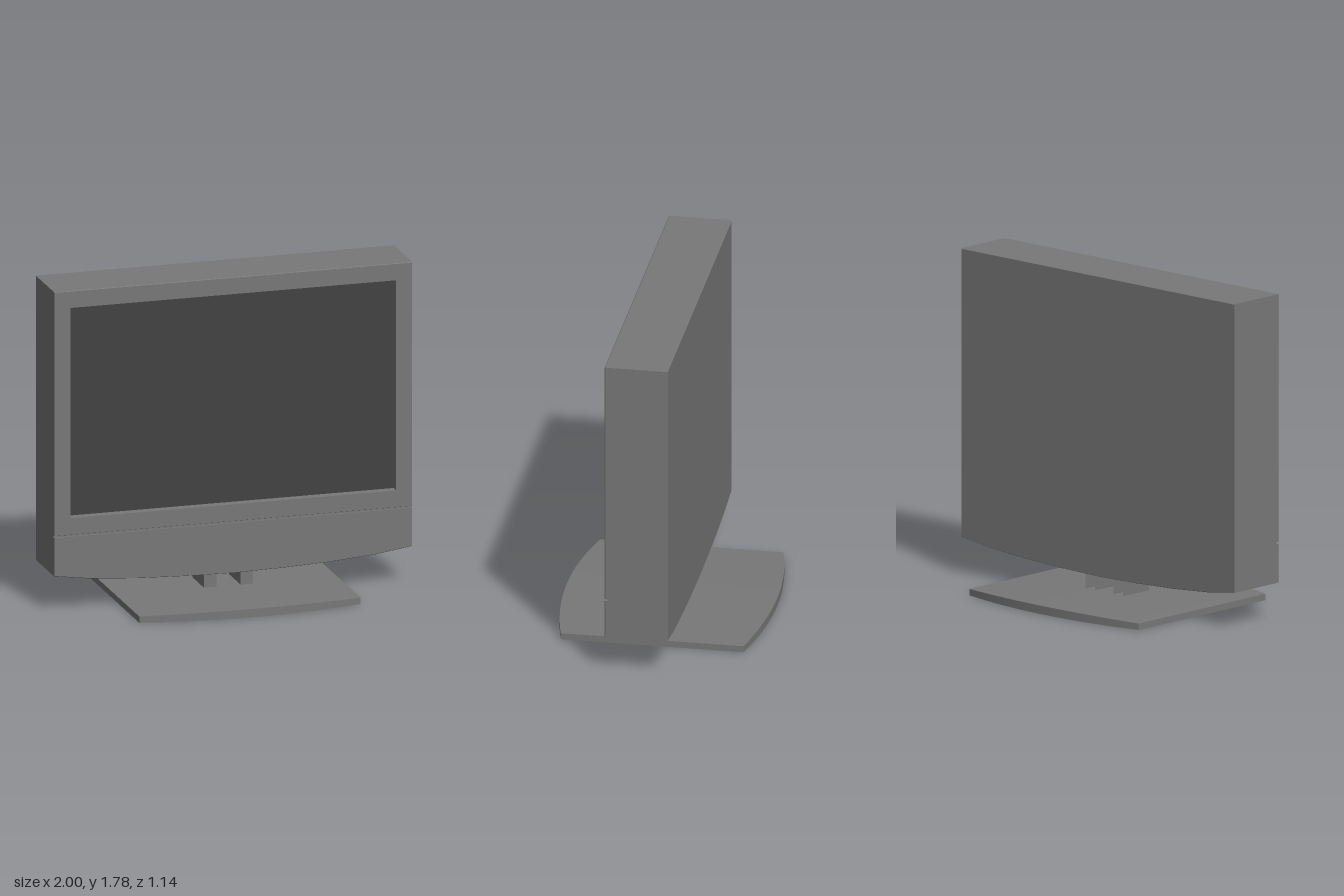
import * as THREE from 'three';

const grey = new THREE.MeshStandardMaterial({ color: 0x787878 });
const thin = new THREE.MeshStandardMaterial({ color: 0x787878, side: THREE.DoubleSide });
const dark = new THREE.MeshStandardMaterial({ color: 0x434343 });

const TOP = 1.785, BACK = -0.15, FRONT = 0.192;
const SCREEN_Z = 0.135, GROOVE_Z = 0.174;
const GROOVE_LOW = 0.417, GROOVE_HIGH = 0.428;
const HALF = { x: 0.912, low: 0.52, high: 1.694 }; // screen opening

// Outline with the faceted, gently bowed bottom edge
function bowed(top) {
  const half = [[0.27, 0.145], [0.54, 0.156], [0.8, 0.176], [1, 0.205]];
  const bottom = [...half.map(([x, y]) => [-x, y]).reverse(), [0, 0.14], ...half];
  return new THREE.Shape([...bottom, [1, top], [-1, top]].map(([x, y]) => new THREE.Vector2(x, y)));
}

function rect(x, y0, y1) {
  return new THREE.Shape([[-x, y0], [x, y0], [x, y1], [-x, y1]].map(([a, b]) => new THREE.Vector2(a, b)));
}

function slab(shape, z0, z1, steps = 1) {
  return new THREE.ExtrudeGeometry(shape, { depth: z1 - z0, steps, bevelEnabled: false }).translate(0, 0, z0);
}

// Narrows one end of a slab slightly to make a small chamfer
function chamfer(geometry, z) {
  const p = geometry.attributes.position;
  for (let i = 0; i < p.count; i++) {
    if (Math.abs(p.getZ(i) - z) > 0.001) continue;
    p.setXY(i, p.getX(i) * 0.997, 0.965 + (p.getY(i) - 0.965) * 0.996);
  }
  geometry.computeVertexNormals();
  return geometry;
}

export function createModel() {
  const model = new THREE.Group();
  const add = (name, geometry, material = grey, parent = model) => {
    const mesh = new THREE.Mesh(geometry, material);
    mesh.name = name;
    parent.add(mesh);
    return mesh;
  };
  const withOpening = (shape) => {
    shape.holes.push(rect(HALF.x, HALF.low, HALF.high));
    return shape;
  };

  // Cabinet: chamfered back, main body, and the layer that floors the groove
  add('backCover', chamfer(slab(bowed(TOP), BACK, BACK + 0.005), BACK));
  add('cabinet', slab(bowed(TOP), BACK + 0.005, SCREEN_Z - 0.01));
  add('cabinetRim', slab(withOpening(bowed(TOP)), SCREEN_Z - 0.01, GROOVE_Z));

  // Front face, split by the groove into screen frame and chin
  add('screenFrame', chamfer(slab(withOpening(rect(1, GROOVE_HIGH, TOP)), GROOVE_Z, FRONT, 4), FRONT));
  add('chin', chamfer(slab(bowed(GROOVE_LOW), GROOVE_Z, FRONT, 4), FRONT));

  // Recessed screen
  add('screen', new THREE.PlaneGeometry(2 * HALF.x, HALF.high - HALF.low)
    .translate(0, (HALF.high + HALF.low) / 2, SCREEN_Z), dark);

  // Two stand legs, channels open at the back
  for (const side of [-1, 1]) {
    const leg = new THREE.Group();
    leg.name = side > 0 ? 'leftLeg' : 'rightLeg';
    leg.position.set(side * 0.102, 0.1, 0);
    add('legFront', new THREE.PlaneGeometry(0.07, 0.13).translate(0, 0, 0.103), thin, leg);
    for (const s of [-1, 1]) {
      add('legWall', new THREE.PlaneGeometry(0.206, 0.13).rotateY(s * Math.PI / 2)
        .translate(s * 0.035, 0, 0), thin, leg);
    }
    model.add(leg);
  }

  // Base plate: bowed front and back, slightly domed top
  const base = new THREE.BoxGeometry(1.236, 1, 2, 16, 1, 1);
  const p = base.attributes.position;
  for (let i = 0; i < p.count; i++) {
    const t = (p.getX(i) / 0.618) ** 2;
    p.setY(i, p.getY(i) > 0 ? 0.046 - 0.011 * t : 0);
    p.setZ(i, p.getZ(i) * (0.57 - 0.074 * t));
  }
  base.computeVertexNormals();
  add('base', base);

  return model;
}
